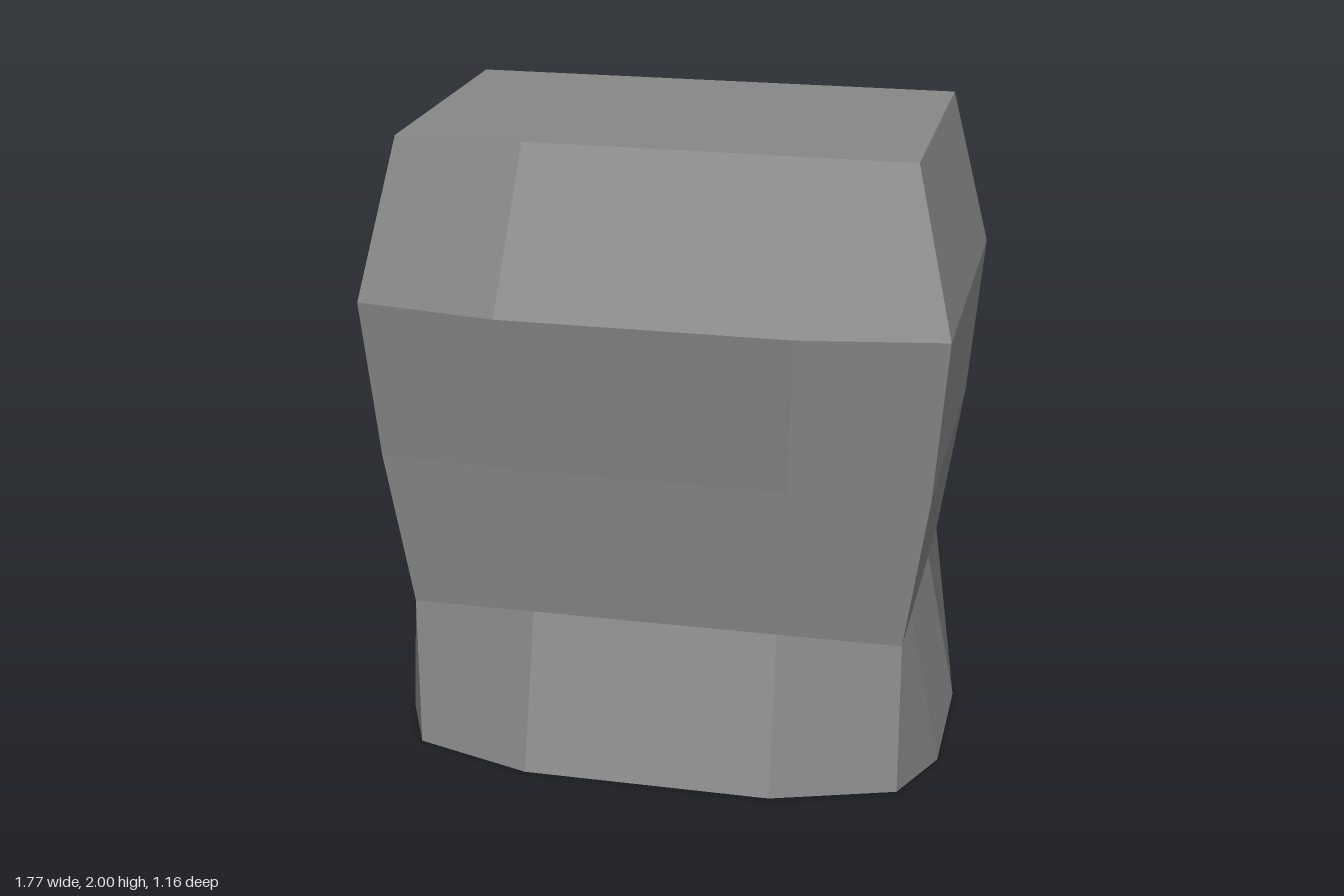
import * as THREE from 'three';

// Horizontal sections: half width, front/back corner depth, outward bulges and panel crease
const sections = [
  { y: 0.0, w: 0.77, front: 0.44, back: -0.48, frontBulge: 0.125, backBulge: 0.1, sideBulge: 0.1, crease: 0.39 },
  { y: 0.5, w: 0.77, front: 0.44, back: -0.48, frontBulge: 0, backBulge: 0, sideBulge: 0, crease: 0.385 },
  { y: 1.0, w: 0.845, front: 0.475, back: -0.508, frontBulge: 0.03, backBulge: 0, sideBulge: 0, crease: 0.42 },
  { y: 1.5, w: 0.887, front: 0.51, back: -0.553, frontBulge: 0.071, backBulge: 0, sideBulge: 0, crease: 0.445 },
  { y: 2.0, w: 0.77, front: 0.44, back: -0.48, frontBulge: 0, backBulge: 0, sideBulge: 0, crease: 0.385 },
];

// Twelve points per section: four corners with two crease points along each side
function ring({ y, w, front, back, frontBulge, backBulge, sideBulge, crease }) {
  const zf = front - (front - back) / 4, zb = back + (front - back) / 4;
  const f = front + frontBulge, b = back - backBulge, s = w + sideBulge;
  return [
    [-w, front], [-crease, f], [crease, f],
    [w, front], [s, zf], [s, zb],
    [w, back], [crease, b], [-crease, b],
    [-w, back], [-s, zb], [-s, zf],
  ].map(([x, z]) => new THREE.Vector3(x, y, z));
}

// Faceted skin: every panel gets one normal
function buildSkin(rings) {
  const positions = [], normals = [];
  const addTriangle = (a, b, c, n) => {
    for (const p of [a, b, c]) {
      positions.push(p.x, p.y, p.z);
      normals.push(n.x, n.y, n.z);
    }
  };
  const count = rings[0].length;
  for (let r = 0; r < rings.length - 1; r++) {
    for (let i = 0; i < count; i++) {
      const j = (i + 1) % count;
      const a = rings[r][i], b = rings[r][j], c = rings[r + 1][j], d = rings[r + 1][i];
      const n = c.clone().sub(a).cross(d.clone().sub(b)).normalize();
      // Split twisted panels along the diagonal that bulges outward
      const twist = b.clone().sub(a).cross(c.clone().sub(a)).dot(d.clone().sub(a));
      if (twist > 0) {
        addTriangle(a, b, d, n);
        addTriangle(b, c, d, n);
      } else {
        addTriangle(a, b, c, n);
        addTriangle(a, c, d, n);
      }
    }
  }
  // Flat caps
  const bottom = rings[0], top = rings[rings.length - 1];
  const up = new THREE.Vector3(0, 1, 0), down = new THREE.Vector3(0, -1, 0);
  for (let i = 1; i < count - 1; i++) {
    addTriangle(top[0], top[i], top[i + 1], up);
    addTriangle(bottom[0], bottom[i + 1], bottom[i], down);
  }
  const geometry = new THREE.BufferGeometry();
  geometry.setAttribute('position', new THREE.Float32BufferAttribute(positions, 3));
  geometry.setAttribute('normal', new THREE.Float32BufferAttribute(normals, 3));
  return geometry;
}

export function createModel() {
  const group = new THREE.Group();
  const body = new THREE.Mesh(
    buildSkin(sections.map(ring)),
    new THREE.MeshStandardMaterial({ color: 0x888888 }),
  );
  body.name = 'torsoBlock';
  group.add(body);
  return group;
}
